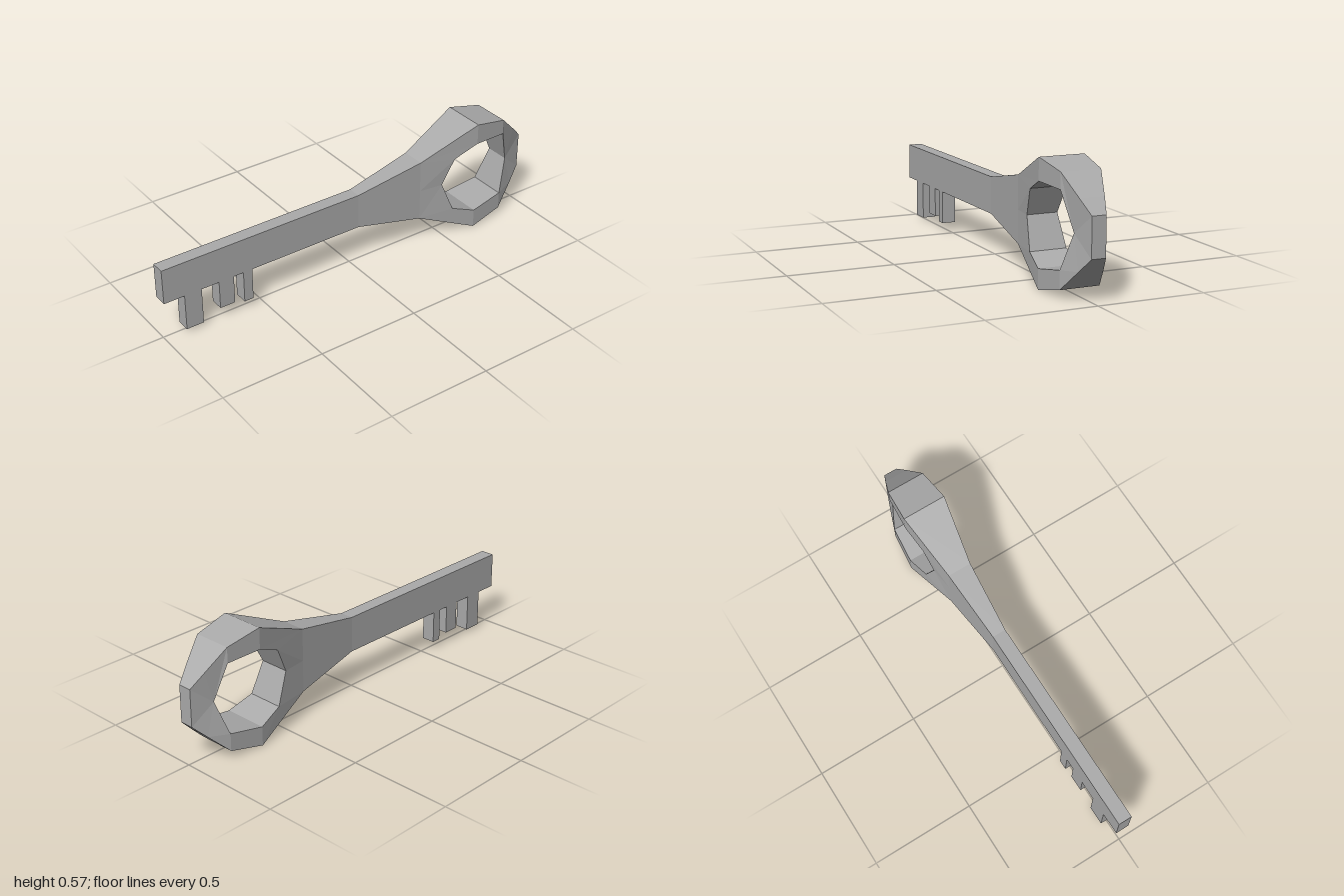
import * as THREE from 'three';

// Flat-sided geometry from counter-clockwise quads, skipping collapsed triangles
function quadGeometry(quads) {
  const pos = [];
  const tri = new THREE.Triangle();
  const add = (a, b, c) => {
    tri.set(new THREE.Vector3(...a), new THREE.Vector3(...b), new THREE.Vector3(...c));
    if (tri.getArea() > 1e-8) pos.push(...a, ...b, ...c);
  };
  for (const [a, b, c, d] of quads) {
    add(a, b, c);
    add(a, c, d);
  }
  const g = new THREE.BufferGeometry();
  g.setAttribute('position', new THREE.Float32BufferAttribute(pos, 3));
  g.computeVertexNormals();
  return g;
}

const back = ([x, y, z]) => [x, y, -z];

export function createModel() {
  const group = new THREE.Group();
  group.name = 'key';
  const steel = new THREE.MeshStandardMaterial({ color: 0xaaaaaa, flatShading: true });
  steel.name = 'grey steel';
  const addPart = (name, geometry) => {
    const mesh = new THREE.Mesh(geometry, steel);
    mesh.name = name;
    group.add(mesh);
    return mesh;
  };

  // Shaft: rectangular sections [x, bottom, top, half depth] flaring into the bow
  const sections = [[-1, 0.2, 0.373, 0.033], [0.03, 0.2, 0.373, 0.033], [0.37, 0.132, 0.44, 0.058]];
  const rings = sections.map(([x, b, t, z]) => [[x, b, z], [x, t, z], [x, t, -z], [x, b, -z]]);
  const shaft = [[rings[0][0], rings[0][1], rings[0][2], rings[0][3]]];
  for (let i = 0; i < 2; i++) {
    for (let j = 0; j < 4; j++) {
      const k = (j + 1) % 4;
      shaft.push([rings[i][j], rings[i + 1][j], rings[i + 1][k], rings[i][k]]);
    }
  }
  addPart('shaft', quadGeometry(shaft));

  // Bow: paired outer and hole outlines, clockwise from the shaft
  const outer = [
    [0.37, 0.285, 0.058], [0.37, 0.44, 0.058], [0.67, 0.567, 0.107], [0.84, 0.531, 0.093],
    [0.937, 0.437, 0.058], [1, 0.373, 0.033], [1, 0.195, 0.033], [0.937, 0.132, 0.058],
    [0.84, 0.038, 0.093], [0.67, 0, 0.107], [0.37, 0.132, 0.058],
  ];
  const right = [0.895, 0.285, 0.058];
  const hole = [
    [0.49, 0.285, 0.073], [0.55, 0.412, 0.088], [0.67, 0.465, 0.107], [0.84, 0.457, 0.093],
    right, right, right, right,
    [0.84, 0.122, 0.093], [0.67, 0.092, 0.107], [0.55, 0.137, 0.088],
  ];
  const bow = [];
  const n = outer.length;
  for (let i = 0; i < n; i++) {
    const k = (i + 1) % n;
    const [a, b, c, d] = [outer[i], outer[k], hole[k], hole[i]];
    bow.push([a, d, c, b], [back(a), back(b), back(c), back(d)]); // front and back
    bow.push([d, back(d), back(c), c]); // hole wall
    if (i > 0 && k > 0) bow.push([a, b, back(b), back(a)]); // rim, open to the shaft
  }
  addPart('bow', quadGeometry(bow));

  // Teeth: [left, right, bottom]
  for (const [l, r, b] of [[-0.898, -0.812, 0.02], [-0.724, -0.648, 0.06], [-0.598, -0.552, 0.042]]) {
    const tooth = addPart('tooth', new THREE.BoxGeometry(r - l, 0.2 - b, 0.066));
    tooth.position.set((l + r) / 2, (0.2 + b) / 2, 0);
  }
  return group;
}
